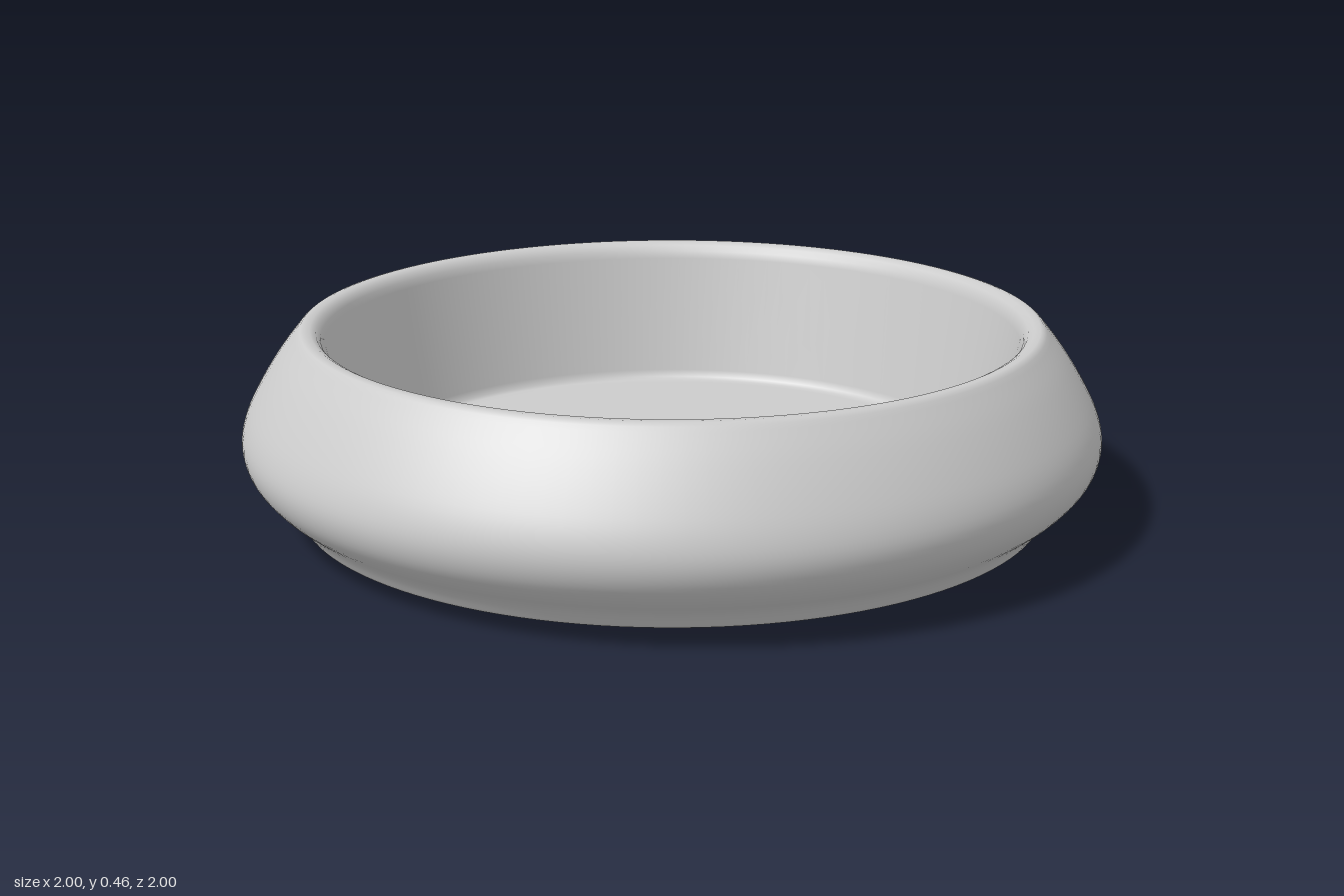
import * as THREE from 'three';

export function createModel() {
  const group = new THREE.Group();
  group.name = 'bowl';
  const material = new THREE.MeshStandardMaterial({ color: 0xcccccc });
  const v = (x, y) => new THREE.Vector2(x, y);

  // Rounded outer wall, from the foot up to the rim
  const outerWall = new THREE.SplineCurve([
    v(0.875, 0.03), v(0.905, 0.07), v(0.955, 0.112), v(0.988, 0.155), v(1, 0.205),
    v(0.988, 0.26), v(0.955, 0.325), v(0.91, 0.395), v(0.865, 0.452),
  ]).getPoints(32);

  // Closed profile: underside, outer wall, rim, inner wall, floor
  const profile = [
    v(0, 0), v(0.6, 0), v(0.73, 0.003), v(0.76, 0.009), v(0.86, 0.024),
    ...outerWall,
    v(0.858, 0.458), v(0.85, 0.46), v(0.835, 0.459), v(0.822, 0.452), v(0.812, 0.438), v(0.807, 0.42),
    v(0.745, 0.13), v(0.738, 0.113), v(0.728, 0.107), v(0.71, 0.105), v(0, 0.105),
  ];

  const bowl = new THREE.Mesh(new THREE.LatheGeometry(profile, 128), material);
  bowl.name = 'bowlBody';
  group.add(bowl);
  return group;
}
